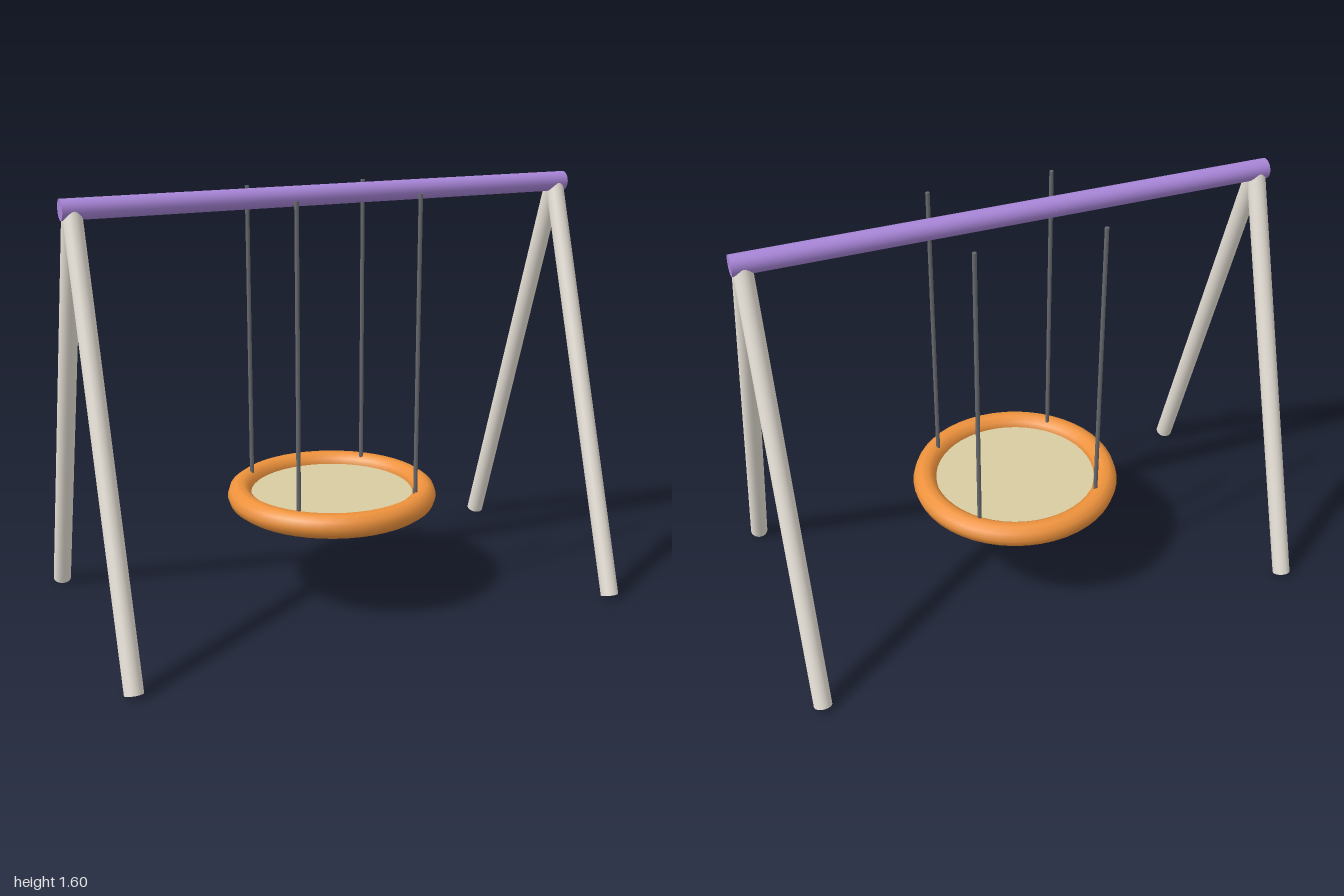
import * as THREE from 'three';

const material = (color) => new THREE.MeshStandardMaterial({ color });

export function createModel() {
  const model = new THREE.Group();
  const beamMat = material(0xa885d8);
  const legMat = material(0xe6e0d6);
  const ropeMat = material(0x66686c);
  const rimMat = material(0xee923c);
  const netMat = material(0xd8cca0);

  const add = (name, geometry, mat) => {
    const mesh = new THREE.Mesh(geometry, mat);
    mesh.name = name;
    model.add(mesh);
    return mesh;
  };

  // Round bar running between two points
  const bar = (name, from, to, radius, sides, mat) => {
    const a = new THREE.Vector3(...from);
    const axis = new THREE.Vector3(...to).sub(a);
    const mesh = add(name, new THREE.CylinderGeometry(radius, radius, axis.length(), sides), mat);
    mesh.position.copy(a).addScaledVector(axis, 0.5);
    mesh.quaternion.setFromUnitVectors(new THREE.Vector3(0, 1, 0), axis.normalize());
  };

  // Top beam
  bar('beam', [-1, 1.567, 0], [1, 1.567, 0], 0.0375, 24, beamMat);

  for (const sx of [1, -1]) {
    for (const sz of [1, -1]) {
      const place = (sz > 0 ? 'front' : 'back') + (sx > 0 ? 'Left' : 'Right');
      // Splayed A-frame legs, meeting inside the beam
      bar(place + 'Leg', [sx * 0.96, 0.011, sz * 0.522], [sx * 0.96, 1.567, 0], 0.034, 24, legMat);
      // Upright ropes, ending in the seat rim
      bar(place + 'Rope', [sx * 0.24, 0.41, sz * 0.24], [sx * 0.24, 1.583, sz * 0.24], 0.008, 10, ropeMat);
    }
  }

  // Padded seat ring
  const rim = add('seatRim', new THREE.TorusGeometry(0.358, 0.0465, 10, 48), rimMat);
  rim.rotation.x = Math.PI / 2;
  rim.position.y = 0.41;

  // Seat disc filling the ring
  const disc = add('seatDisc', new THREE.CylinderGeometry(0.316, 0.316, 0.012, 48), netMat);
  disc.position.y = 0.41;

  return model;
}
